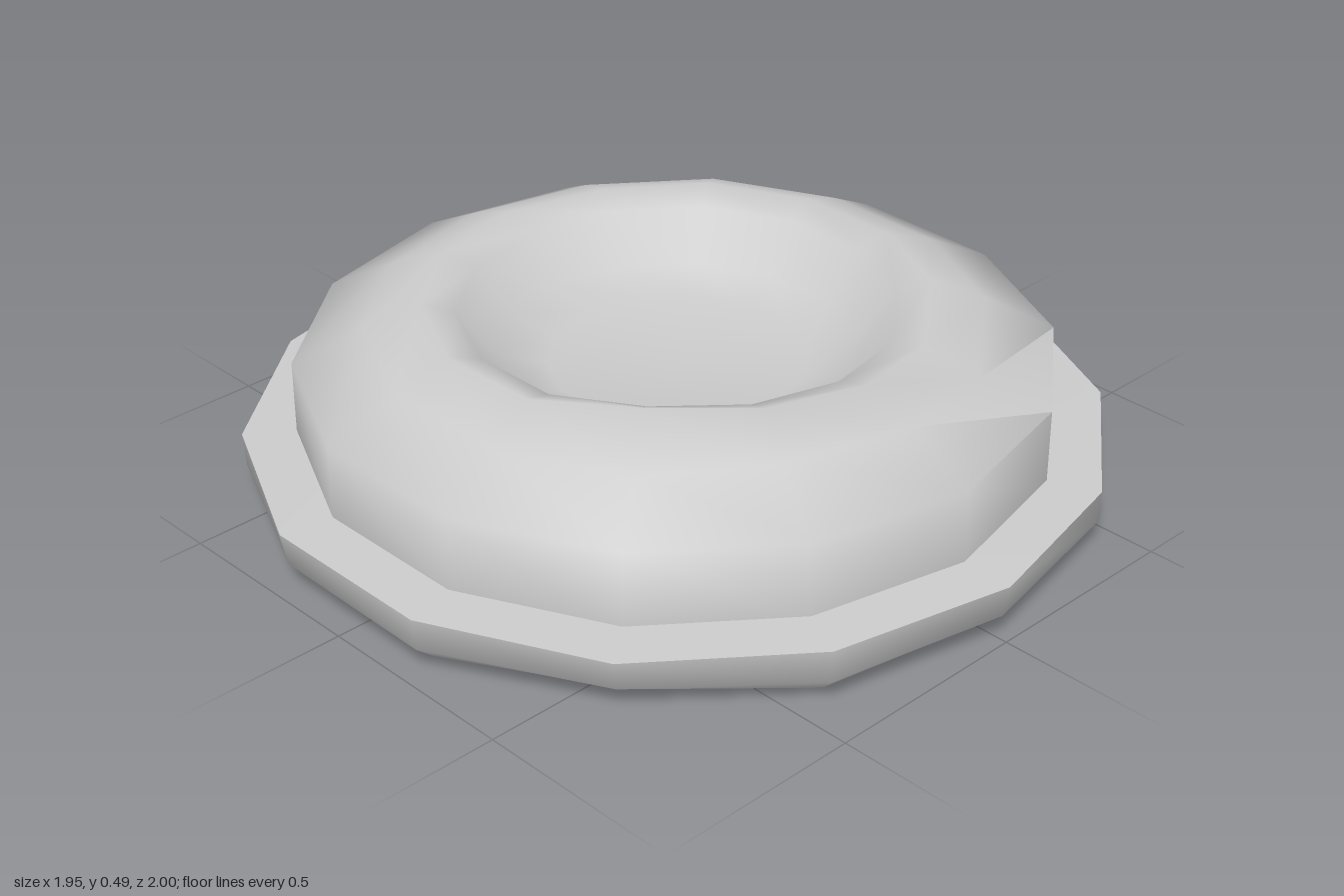
import * as THREE from 'three';
import { mergeVertices, toCreasedNormals } from 'three/addons/utils/BufferGeometryUtils.js';

const SIDES = 14;
const material = new THREE.MeshStandardMaterial({ color: 0xcccccc, side: THREE.DoubleSide });

// Turned 14-sided part; nudge(row, side, vertex) gives it a hand-shaped unevenness.
function turned(name, profile, crease, nudge) {
  const points = profile.map(([r, y]) => new THREE.Vector2(r, y));
  let geometry = new THREE.LatheGeometry(points, SIDES);
  const pos = geometry.attributes.position;
  const v = new THREE.Vector3();
  for (let i = 0; i < pos.count; i++) {
    v.fromBufferAttribute(pos, i);
    nudge(i % profile.length, Math.floor(i / profile.length) % SIDES, v);
    pos.setXYZ(i, v.x, v.y, v.z);
  }
  geometry.deleteAttribute('uv');
  geometry.deleteAttribute('normal');
  geometry = mergeVertices(geometry);
  const mesh = new THREE.Mesh(toCreasedNormals(geometry, crease), material);
  mesh.name = name;
  return mesh;
}

function scaleRadius(v, s) {
  v.x *= s;
  v.z *= s;
}

export function createModel() {
  const group = new THREE.Group();
  group.name = 'roundCushion';

  // Flat base disc with a worn lower edge (sides run from the front towards +x)
  const lowerEdge = [0, 0.02, -0.01, 0.03, 0.03, 0.01, 0.02, -0.01, 0.01, 0.02, 0, 0.01, -0.02, 0.02];
  const base = turned('baseDisc',
    [[0, 0], [0.6, 0.005], [0.93, 0.015], [0.985, 0.06], [1, 0.14], [0.86, 0.145]],
    1.1,
    (row, side, v) => {
      if (row === 2) scaleRadius(v, 1 + lowerEdge[side]);
      if (row === 3) scaleRadius(v, 1 + lowerEdge[side] * 0.5);
    });

  // Raised ring with a sloping shoulder, uneven rim and sunken centre
  const rimLift = [0, -0.025, 0.005, 0, 0, 0, -0.005, 0, 0, 0, 0, 0.005, 0.035, 0.02];
  const ring = turned('raisedRing',
    [[0.875, 0.13], [0.875, 0.32], [0.71, 0.405], [0.58, 0.455], [0.5, 0.43], [0.41, 0.32], [0.3, 0.29], [0, 0.285]],
    1.2,
    (row, side, v) => {
      if (row === 3) v.y += rimLift[side];
      if (row === 2 || row === 4) v.y += rimLift[side] * 0.5;
      // Soft creases in the front shoulder
      if (row === 2 && (side === 1 || side === 12)) v.y -= 0.02;
    });

  group.add(base, ring);
  return group;
}
